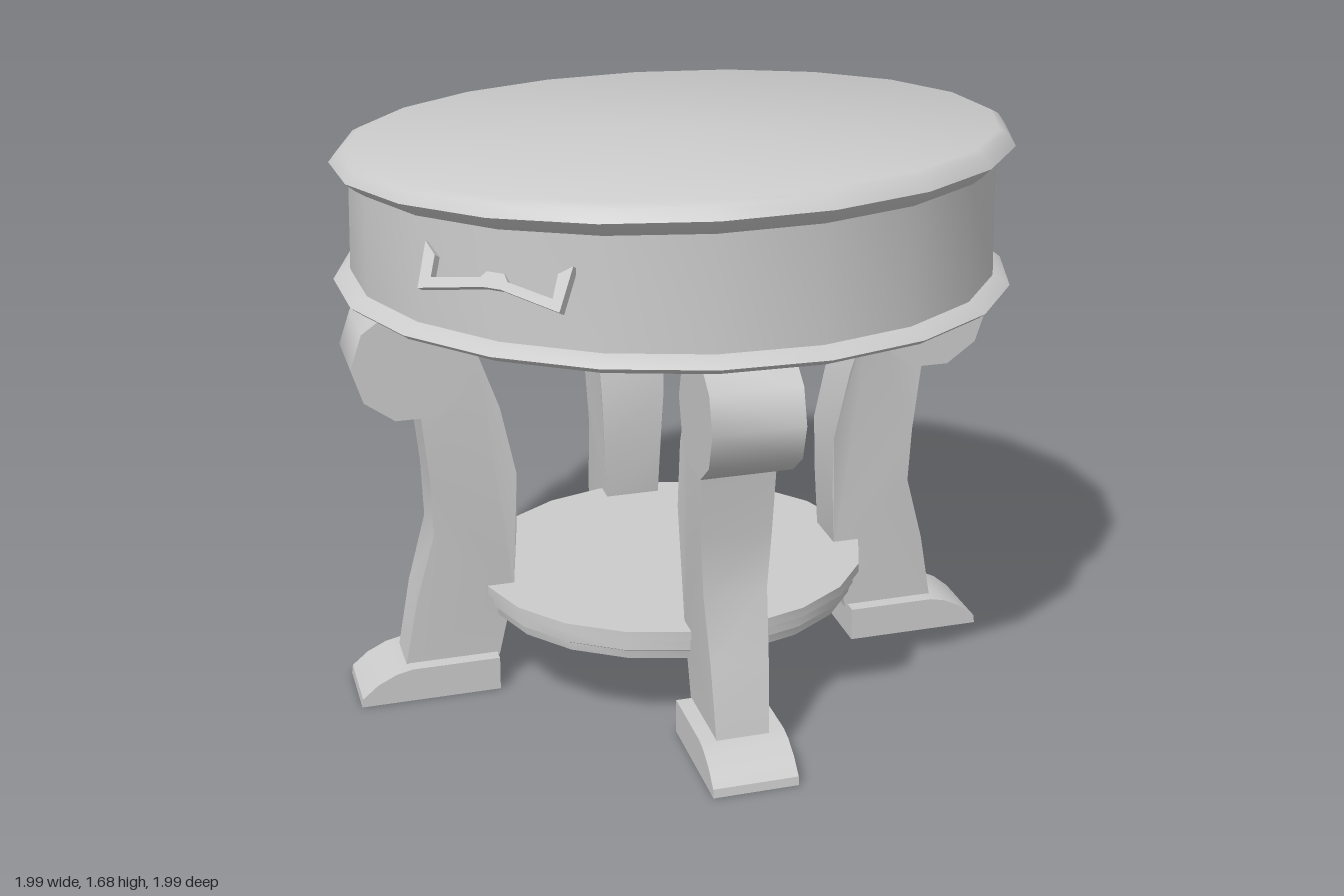
import * as THREE from 'three';
import { toCreasedNormals } from 'three/addons/utils/BufferGeometryUtils.js';

const grey = new THREE.MeshStandardMaterial({ color: 0xcccccc });
const v2 = (pts) => pts.map(([x, y]) => new THREE.Vector2(x, y));

function part(name, geometry, parent, crease = 0.6) {
  const mesh = new THREE.Mesh(toCreasedNormals(geometry, crease), grey);
  mesh.name = name;
  parent.add(mesh);
  return mesh;
}

// Extrude an outline symmetrically about z = 0
function slab(pts, halfWidth) {
  const geo = new THREE.ExtrudeGeometry(new THREE.Shape(v2(pts)), { depth: 2 * halfWidth, bevelEnabled: false });
  return geo.translate(0, 0, -halfWidth);
}

// Round drum with beaded rims; the top leans up towards +x
function drumGeometry() {
  const geo = new THREE.LatheGeometry(v2([
    [0, 1.2], [0.955, 1.2], [0.975, 1.208], [0.993, 1.222], [0.97, 1.24], [0.943, 1.25],
    [0.938, 1.555], [0.965, 1.573], [0.993, 1.598], [0.97, 1.63], [0.945, 1.643], [0, 1.643],
  ]), 20);
  const p = geo.attributes.position;
  for (let i = 0; i < p.count; i++) {
    const lean = 0.04 * Math.max(0, (p.getY(i) - 1.25) / 0.393);
    p.setY(i, p.getY(i) + lean * p.getX(i));
  }
  return geo;
}

// Curved leg: rows of [height, inner radius, outer radius, half width]
function legGeometry() {
  const rows = [
    [0.09, 0.537, 0.812, 0.075], [0.3, 0.492, 0.775, 0.082], [0.5, 0.482, 0.722, 0.09],
    [0.67, 0.48, 0.728, 0.1], [0.88, 0.525, 0.75, 0.105], [1.05, 0.585, 0.77, 0.1],
  ];
  const outline = [
    ...rows.map(([y, , outer]) => [outer, y]),
    ...rows.map(([y, inner]) => [inner, y]).reverse(),
  ];
  const geo = slab(outline, 1);
  const p = geo.attributes.position;
  for (let i = 0; i < p.count; i++) {
    const row = rows.find((r) => Math.abs(r[0] - p.getY(i)) < 1e-4);
    p.setZ(i, p.getZ(i) * row[3]);
  }
  return geo;
}

export function createModel() {
  const model = new THREE.Group();
  model.name = 'roundTable';

  part('drum', drumGeometry(), model, 0.9);

  // Drop handle on the front, leaning outwards at the bottom
  const handle = part('handle', slab([
    [-0.245, 0.065], [-0.232, -0.065], [-0.035, -0.035], [0.02, -0.035], [0.21, -0.07],
    [0.217, 0.055], [0.178, 0.03], [0.18, -0.037], [0.035, -0.012], [0.02, 0.008],
    [-0.035, 0.008], [-0.05, -0.01], [-0.2, -0.03], [-0.205, 0.03],
  ], 0.013), model);
  handle.position.set(0, 1.425, 0.934);
  handle.rotation.x = -0.5;

  // Base, slightly deeper than wide
  const base = new THREE.Group();
  base.name = 'base';
  base.scale.z = 1.08;
  base.position.z = 0.01;
  model.add(base);

  // Low shelf with a stepped edge
  part('shelf', new THREE.LatheGeometry(v2([
    [0, 0.225], [0.545, 0.225], [0.55, 0.25], [0.558, 0.255], [0.558, 0.288],
    [0.575, 0.292], [0.575, 0.32], [0, 0.32],
  ]), 20), base);

  // Four diagonal legs, each with a scroll and a wedge foot
  for (let i = 0; i < 4; i++) {
    const leg = new THREE.Group();
    leg.name = 'leg' + (i + 1);
    leg.rotation.y = Math.PI / 4 + (i * Math.PI) / 2;
    base.add(leg);

    part('legPost', legGeometry(), leg);

    const scroll = new THREE.CylinderGeometry(0.172, 0.172, 0.254, 10)
      .rotateY(Math.PI / 10).rotateX(Math.PI / 2).translate(0.77, 1.045, 0);
    part('legScroll', scroll, leg, 0.8);

    part('foot', slab([
      [0.544, 0], [0.948, 0], [0.945, 0.025], [0.9, 0.063], [0.845, 0.09], [0.8, 0.1], [0.544, 0.1],
    ], 0.12), leg);
  }
  return model;
}
